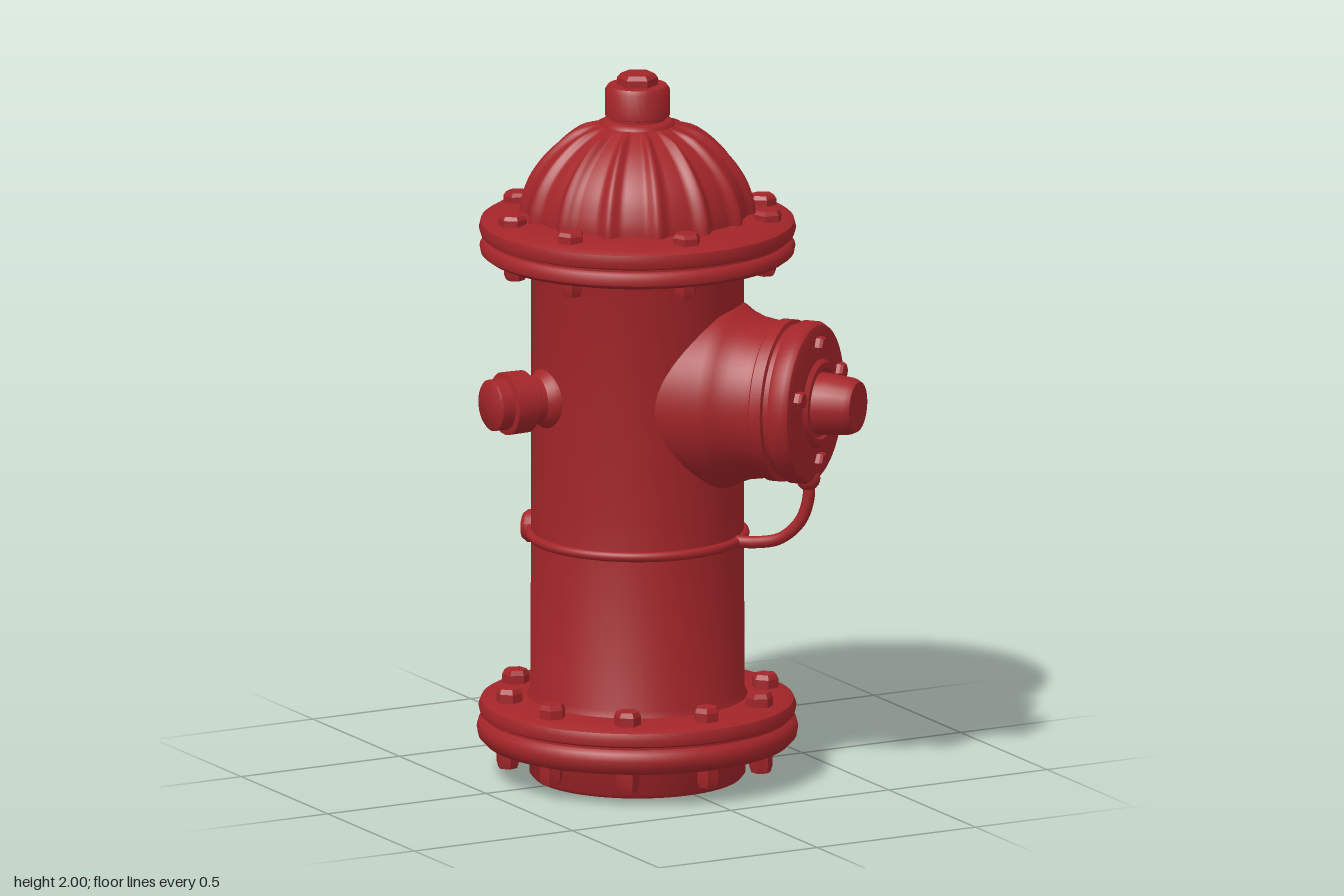
import * as THREE from 'three';
import { toCreasedNormals, mergeVertices } from 'three/addons/utils/BufferGeometryUtils.js';

const red = new THREE.MeshStandardMaterial({ color: 0xa32529 });
red.name = 'hydrant red';

// Lathe from [radius, height] pairs listed bottom to top
function turned(profile, sides = 64, crease = 0.7) {
  const pts = profile.map(([r, y]) => new THREE.Vector2(r, y));
  return toCreasedNormals(new THREE.LatheGeometry(pts, sides), crease);
}

function add(parent, name, geometry, x = 0, y = 0, z = 0) {
  const mesh = new THREE.Mesh(geometry, red);
  mesh.name = name;
  mesh.position.set(x, y, z);
  parent.add(mesh);
  return mesh;
}

// Chamfered hexagonal bolt head standing on its origin
const boltGeometry = (r, h) =>
  turned([[r, 0], [r, h * 0.7], [r * 0.82, h], [0, h]], 6, 0.4);

const BOLT_ANGLES = [9, 39, 97, 149, 189, 234, 282, 327];

// Ring of bolts; dir = -1 hangs them below the flange
function boltRing(parent, name, y, r, size, height, dir, angles) {
  const geo = boltGeometry(size, height);
  if (dir < 0) geo.rotateX(Math.PI);
  for (const deg of angles) {
    const a = THREE.MathUtils.degToRad(deg);
    add(parent, name, geo, r * Math.cos(a), y, r * Math.sin(a)).rotation.y = -a;
  }
}

// Ribbed dome: a lathe whose surface is raised along radial ridges
function domeGeometry() {
  const curve = new THREE.SplineCurve([
    [0.318, 1.585], [0.312, 1.64], [0.285, 1.71], [0.235, 1.775],
    [0.165, 1.83], [0.085, 1.862],
  ].map(([r, y]) => new THREE.Vector2(r, y)));
  let geo = new THREE.LatheGeometry(curve.getPoints(24), 224);
  geo.deleteAttribute('uv');
  geo.deleteAttribute('normal');
  geo = mergeVertices(geo, 1e-5);
  const p = geo.attributes.position;
  for (let i = 0; i < p.count; i++) {
    const x = p.getX(i), y = p.getY(i), z = p.getZ(i);
    const r = Math.hypot(x, z);
    const phase = (((Math.atan2(z, x) / (2 * Math.PI)) * 14 + 14.3) % 1);
    const ridge = Math.max(0, 1 - Math.abs(phase - 0.5) / 0.26);
    const fade = THREE.MathUtils.smoothstep(r, 0.09, 0.17);
    const lift = fade * (0.026 * ridge * ridge * (3 - 2 * ridge) - 0.012);
    const s = 1 + (lift * 0.8) / r;
    p.setXYZ(i, x * s, y + lift * 0.5 * (1 - r / 0.34), z * s);
  }
  geo.computeVertexNormals();
  return geo;
}

// Large side outlet with bolted cap; local +x points outward
function outlet(name, degrees, boltDegrees) {
  const g = new THREE.Group();
  g.name = name;
  g.position.y = 1.105;
  g.rotation.y = -THREE.MathUtils.degToRad(degrees);
  const along = (geo) => geo.rotateZ(-Math.PI / 2);
  add(g, 'outletNeck', along(turned([
    [0.25, 0.1], [0.262, 0.28], [0.243, 0.31], [0.228, 0.35], [0.22, 0.4],
    [0.22, 0.415], [0.226, 0.42], [0.226, 0.452], [0.214, 0.456], [0.214, 0.475],
  ])));
  add(g, 'outletCap', along(turned([
    [0.2, 0.468], [0.22, 0.472], [0.227, 0.482], [0.227, 0.515], [0.218, 0.53],
    [0.2, 0.536], [0.125, 0.54], [0.115, 0.552], [0.1, 0.553], [0.094, 0.545], [0, 0.545],
  ])));
  add(g, 'outletNut', along(turned([
    [0.088, 0.53], [0.086, 0.575], [0.079, 0.64], [0.07, 0.657], [0, 0.66],
  ], 24)));
  const bolt = along(boltGeometry(0.027, 0.026));
  for (const deg of boltDegrees) {
    const a = THREE.MathUtils.degToRad(deg);
    add(g, 'capBolt', bolt, 0.532, 0.165 * Math.sin(a), -0.165 * Math.cos(a));
  }
  return g;
}

export function createModel() {
  const model = new THREE.Group();
  model.name = 'fireHydrant';
  const body = new THREE.Group();
  body.name = 'hydrant';
  body.position.x = -0.021;
  model.add(body);

  // Barrel, standing foot and paired flanges
  add(body, 'barrel', turned([
    [0, 0], [0.29, 0], [0.3, 0.012], [0.3, 0.2], [0.308, 0.225], [0.297, 0.25],
    [0.295, 0.8], [0.295, 1.45], [0.305, 1.49],
  ]));
  add(body, 'baseFlange', turned([
    [0.29, 0.075], [0.37, 0.09], [0.425, 0.1], [0.442, 0.118], [0.446, 0.14], [0.44, 0.16],
    [0.425, 0.17], [0.425, 0.176], [0.437, 0.182], [0.441, 0.2], [0.434, 0.218],
    [0.415, 0.228], [0.29, 0.232],
  ]));
  add(body, 'topFlange', turned([
    [0.29, 1.465], [0.38, 1.478], [0.42, 1.484], [0.435, 1.495], [0.438, 1.51], [0.43, 1.526],
    [0.42, 1.532], [0.42, 1.538], [0.434, 1.544], [0.44, 1.562], [0.435, 1.582],
    [0.415, 1.594], [0.36, 1.598], [0.3, 1.605],
  ]));
  boltRing(body, 'topFlangeBolt', 1.59, 0.367, 0.04, 0.035, 1, BOLT_ANGLES);
  boltRing(body, 'topFlangeNut', 1.485, 0.36, 0.032, 0.045, -1, BOLT_ANGLES);
  const baseAngles = Array.from({ length: 10 }, (_, i) => i * 36 + 15);
  boltRing(body, 'baseFlangeBolt', 0.222, 0.365, 0.038, 0.045, 1, baseAngles);
  boltRing(body, 'baseFlangeNut', 0.105, 0.37, 0.033, 0.065, -1, baseAngles);

  // Bonnet and operating nut
  add(body, 'ribbedDome', domeGeometry());
  add(body, 'operatingNut', turned([
    [0.105, 1.845], [0.103, 1.86], [0.095, 1.868], [0.078, 1.87], [0.078, 1.878],
    [0.09, 1.882], [0.09, 1.955], [0.082, 1.967], [0, 1.968],
  ], 32));
  add(body, 'operatingNutTip', boltGeometry(0.057, 0.04), 0, 1.96, 0);

  // Two large outlets
  const front = outlet('frontOutlet', 50, [20, 90, 165]);
  const back = outlet('backOutlet', -50, [133, 187, 240, 305, 40]);
  body.add(front, back);

  // Retaining cable from the front cap down to the band
  const path = new THREE.CatmullRomCurve3([
    [0.505, 0.9], [0.51, 0.84], [0.485, 0.765], [0.425, 0.71], [0.35, 0.692], [0.285, 0.69],
  ].map(([x, y]) => new THREE.Vector3(x, y - 1.105, 0)));
  add(front, 'cable', new THREE.TubeGeometry(path, 32, 0.017, 10));
  add(front, 'cableLug', new THREE.SphereGeometry(0.034, 16, 12), 0.508, 0.888 - 1.105, 0);
  add(front, 'cableBolt', boltGeometry(0.027, 0.026).rotateZ(-Math.PI / 2), 0.532, -0.165, 0);

  // Band round the barrel with its clasp
  add(body, 'band', new THREE.TorusGeometry(0.297, 0.014, 10, 72).rotateX(Math.PI / 2), 0, 0.69, 0);
  const clasp = add(body, 'bandClasp',
    turned([[0.046, 0.27], [0.046, 0.315], [0.036, 0.328], [0, 0.33]], 20).rotateZ(-Math.PI / 2),
    0, 0.688, 0);
  clasp.rotation.y = THREE.MathUtils.degToRad(135);

  // Small side port
  add(body, 'sidePort', turned([
    [0.085, 0.27], [0.082, 0.3], [0.066, 0.318], [0.066, 0.335], [0.073, 0.34],
    [0.073, 0.35], [0.087, 0.357], [0.088, 0.42], [0.072, 0.424], [0.072, 0.462],
    [0.066, 0.467], [0, 0.467],
  ], 32).rotateZ(Math.PI / 2), 0, 1.105, 0);

  return model;
}
